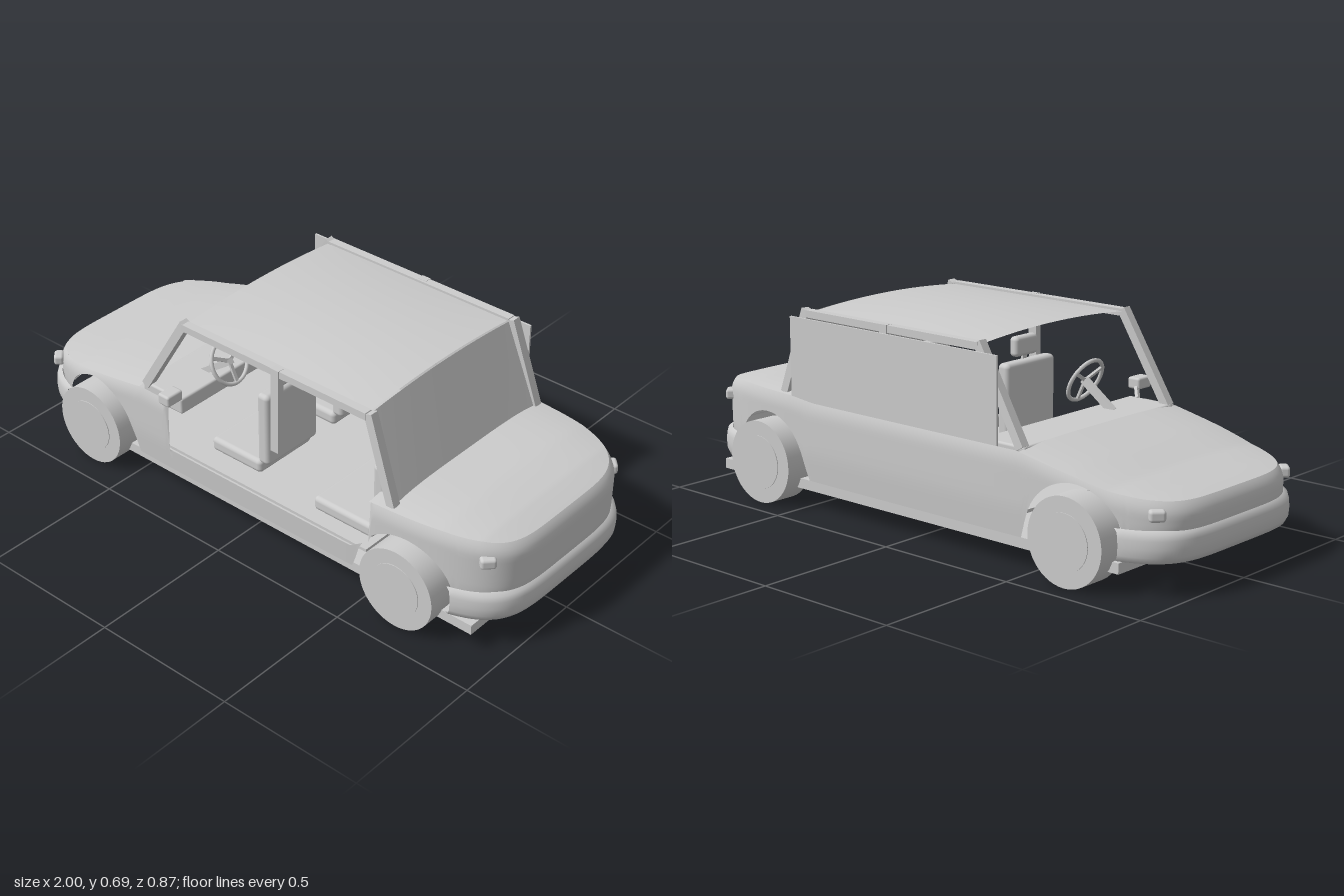
import * as THREE from 'three';
import { RoundedBoxGeometry } from 'three/addons/geometries/RoundedBoxGeometry.js';

const grey = new THREE.MeshStandardMaterial({ color: 0xcccccc, side: THREE.DoubleSide });
grey.name = 'light grey';

const HALF_WIDTH = 0.402;
const ARCHES = [-0.67, 0.66];
const lerp = THREE.MathUtils.lerp;

// Piecewise linear lookup through [x, y] points
function lookup(points, x) {
  if (x <= points[0][0]) return points[0][1];
  for (let i = 1; i < points.length; i++) {
    const [x0, y0] = points[i - 1], [x1, y1] = points[i];
    if (x <= x1) return lerp(y0, y1, (x - x0) / (x1 - x0));
  }
  return points[points.length - 1][1];
}

// Rounded plan outline of the car
function plan(phi) {
  const c = Math.cos(phi), s = Math.sin(phi);
  const m = Math.pow(Math.abs(c) ** 5 + Math.abs(s) ** 5, 0.2);
  return [c / m, (HALF_WIDTH * s) / m];
}

const shoulder = x => lookup([[-1, 0.28], [-0.9, 0.29], [-0.8, 0.302], [-0.66, 0.332], [-0.46, 0.37],
  [0.45, 0.37], [0.56, 0.38], [0.8, 0.383], [0.92, 0.376], [1, 0.362]], x);

// Lower body edge with wheel arches
function lowerEdge(x) {
  let y = 0.105;
  for (const c of ARCHES) {
    const d = 0.178 ** 2 - (x - c) ** 2;
    if (d > 0) y = Math.max(y, 0.13 + Math.sqrt(d));
  }
  return y;
}

// Upper body edge with the open doorway on the left side
function upperEdge(x, z) {
  if (z > 0.2 && x > -0.325 && x < 0.535) return lookup([[0.46, 0.185], [0.53, 0.235]], x);
  return shoulder(x);
}

function bodyScale(x, y) {
  const top = shoulder(x);
  const k = THREE.MathUtils.clamp((y - (top - 0.05)) / 0.05, 0, 1);
  return lookup([[0.1, 0.965], [0.2, 0.985], [0.35, 0.987]], y) - 0.022 * k * k;
}

// Smooth surface from a rule fn(u, v) -> [x, y, z]
function surface(cols, rows, fn) {
  const pos = [], index = [];
  for (let i = 0; i <= cols; i++) for (let j = 0; j <= rows; j++) pos.push(...fn(i / cols, j / rows));
  for (let i = 0; i < cols; i++) for (let j = 0; j < rows; j++) {
    const a = i * (rows + 1) + j, b = a + rows + 1;
    index.push(a, a + 1, b, b, a + 1, b + 1);
  }
  const g = new THREE.BufferGeometry();
  g.setAttribute('position', new THREE.Float32BufferAttribute(pos, 3));
  g.setIndex(index);
  g.computeVertexNormals();
  return g;
}

export function createModel() {
  const car = new THREE.Group();
  car.name = 'car';
  const add = (name, geometry, x = 0, y = 0, z = 0) => {
    const mesh = new THREE.Mesh(geometry, grey);
    mesh.name = name;
    mesh.position.set(x, y, z);
    car.add(mesh);
    return mesh;
  };
  // Box given by its minimum and maximum corners
  const block = (name, a, b, r = 0) => {
    const s = a.map((v, i) => b[i] - v);
    const g = r ? new RoundedBoxGeometry(...s, 3, r) : new THREE.BoxGeometry(...s);
    return add(name, g, ...a.map((v, i) => (v + b[i]) / 2));
  };
  // Square bar between two points
  const bar = (name, a, b, w, d) => {
    const p = new THREE.Vector3(...a), q = new THREE.Vector3(...b);
    const dir = q.clone().sub(p);
    const mesh = add(name, new THREE.BoxGeometry(w, dir.length(), d), ...p.clone().add(q).multiplyScalar(0.5));
    mesh.quaternion.setFromUnitVectors(new THREE.Vector3(0, 1, 0), dir.normalize());
    return mesh;
  };

  // Body shell
  add('bodyShell', surface(640, 14, (u, v) => {
    const [x, z] = plan(u * Math.PI * 2);
    const hi = upperEdge(x, z), lo = Math.min(lowerEdge(x), hi);
    const y = lerp(lo, hi, 1 - (1 - v) ** 1.7), s = bodyScale(x, y);
    return [x * s, y, z * s];
  }));

  // Crowned hood and rear deck
  const lid = (name, phi0, phi1, crown) => add(name, surface(70, 24, (u, v) => {
    const [x, z] = plan(lerp(phi0, phi1, u));
    const s = bodyScale(x, shoulder(x)), w = v * 2 - 1;
    return [x * s, shoulder(x) + crown * (1 - w ** 4) * (1 - x ** 8), z * s * w];
  }));
  lid('hood', Math.atan2(1, -0.475), Math.PI, 0.014);
  lid('rearDeck', 0, Math.atan2(1, 0.54), 0.018);

  // Wraparound bumpers
  const section = [[0.965, 0.102], [0.988, 0.106], [0.998, 0.125], [1, 0.15], [0.998, 0.175], [0.992, 0.194], [0.975, 0.202]];
  for (const [name, mid] of [['rearBumper', 0], ['frontBumper', Math.PI]]) {
    const half = Math.atan2(0.92, 0.84);
    add(name, surface(90, section.length - 1, (u, v) => {
      const [x, z] = plan(mid + lerp(-half, half, u));
      const [s, y] = section[Math.round(v * (section.length - 1))];
      return [x * s, y, z * s * 1.045];
    }));
  }

  // Underbody and cabin floor
  block('chassisPlate', [-0.82, 0.062, -0.365], [0.9, 0.096, 0.365]);
  block('cabinFloor', [-0.46, 0.172, -0.375], [0.5, 0.182, 0.375]);
  block('dashboard', [-0.46, 0.32, -0.365], [-0.285, 0.378, 0.365], 0.008);

  // Wheels with hub discs
  for (const x of [-0.665, 0.655]) for (const side of [-1, 1]) {
    add('wheel', new THREE.CylinderGeometry(0.14, 0.14, 0.096, 48), x, 0.14, side * 0.377).rotation.x = Math.PI / 2;
    add('hub', new THREE.CylinderGeometry(0.09, 0.09, 0.003, 40), x, 0.14, side * 0.426).rotation.x = Math.PI / 2;
  }

  // Cabin frame and lamps on both sides
  for (const side of [-1, 1]) {
    bar('frontPillar', [-0.445, 0.37, side * 0.356], [-0.265, 0.668, side * 0.348], 0.03, 0.03);
    bar('middlePillar', [0.125, 0.37, side * 0.362], [0.125, 0.67, side * 0.356], 0.032, 0.024);
    bar('rearPillar', [0.587, 0.38, side * 0.356], [0.487, 0.668, side * 0.348], 0.03, 0.03);
    bar('roofRail', [-0.27, 0.657, side * 0.35], [0.48, 0.657, side * 0.35], 0.024, 0.03);
    add('headlamp', new RoundedBoxGeometry(0.034, 0.036, 0.05, 3, 0.01), -0.922, 0.25, side * 0.32).rotation.y = side * 0.75;
    add('tailLamp', new RoundedBoxGeometry(0.034, 0.036, 0.05, 3, 0.01), 0.914, 0.316, side * 0.318).rotation.y = -side * 0.75;
  }

  // Arched roof
  add('roof', surface(30, 24, (u, v) => {
    const w = v * 2 - 1, k = u * 2 - 1;
    return [lerp(-0.27, 0.475, u), 0.66 + (0.018 + 0.008 * (1 - k * k)) * (1 - w * w), 0.345 * w];
  }));

  // Window panels
  add('rearWindow', surface(1, 12, (u, v) => {
    const w = v * 2 - 1;
    return [lerp(0.592, 0.482, u), lerp(0.385, 0.66 + 0.016 * (1 - w * w), u), lerp(0.35, 0.338, u) * w];
  }));
  block('rightSideWindow', [-0.365, 0.35, -0.384], [0.535, 0.645, -0.377]);

  // Seats
  for (const z of [-0.18, 0.18]) {
    block('frontSeatCushion', [-0.215, 0.185, z - 0.125], [0, 0.235, z + 0.125], 0.016);
    block('frontSeatBack', [-0.018, 0.225, z - 0.12], [0.03, 0.49, z + 0.12], 0.016);
    block('headrest', [0, 0.5, z - 0.055], [0.036, 0.568, z + 0.055], 0.014);
    block('headrestPost', [0.012, 0.48, z - 0.01], [0.022, 0.51, z + 0.01]);
  }
  block('rearSeatCushion', [0.245, 0.185, -0.33], [0.485, 0.235, 0.33], 0.016);
  block('rearSeatBack', [0.482, 0.225, -0.33], [0.53, 0.47, 0.33], 0.016);

  // Steering wheel and column
  const steering = new THREE.Group();
  steering.name = 'steeringWheel';
  steering.position.set(-0.245, 0.455, 0.18);
  steering.rotation.set(0, Math.PI / 2, 0);
  steering.rotateX(-0.44);
  const rim = new THREE.Mesh(new THREE.TorusGeometry(0.076, 0.007, 8, 36), grey);
  rim.name = 'rim';
  steering.add(rim);
  for (let i = 0; i < 3; i++) {
    const spoke = new THREE.Mesh(new THREE.BoxGeometry(0.012, 0.076, 0.008).translate(0, 0.038, 0), grey);
    spoke.name = 'spoke';
    spoke.rotation.z = Math.PI / 3 + (i * Math.PI * 2) / 3;
    steering.add(spoke);
  }
  car.add(steering);
  bar('steeringColumn', [-0.36, 0.37, 0.18], [-0.24, 0.457, 0.18], 0.022, 0.022);

  // Left door mirror
  block('doorMirror', [-0.31, 0.396, 0.379], [-0.262, 0.435, 0.446], 0.008);
  bar('mirrorArm', [-0.32, 0.375, 0.36], [-0.29, 0.412, 0.39], 0.012, 0.012);

  car.position.z = -0.009;
  const model = new THREE.Group();
  model.name = 'model';
  model.add(car);
  return model;
}
